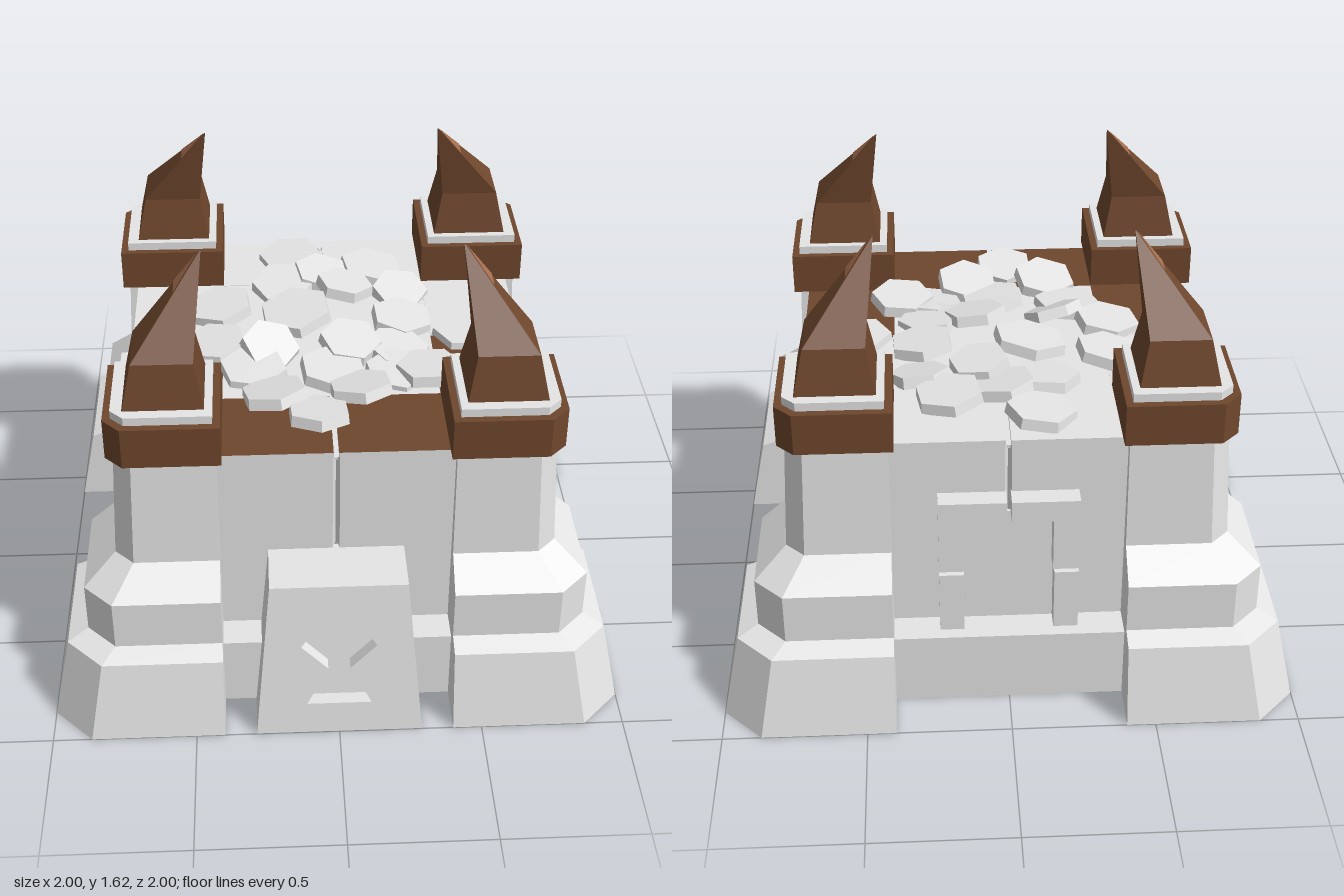
import * as THREE from 'three';

const material = (name, color, side = THREE.FrontSide) => {
  const m = new THREE.MeshStandardMaterial({ color, side });
  m.name = name;
  return m;
};
// The stone shell is hollow and open below, so it shows from both sides
const stone = material('pale stone', 0xe6e6e6, THREE.DoubleSide);
const wood = material('brown wood', 0x6f472d);
const lightWood = material('light brown wood', 0xa87050, THREE.DoubleSide);

function add(parent, name, geometry, mat) {
  const mesh = new THREE.Mesh(geometry, mat);
  mesh.name = name;
  parent.add(mesh);
  return mesh;
}

// Box given by its minimum and maximum corners
function box(parent, name, x0, x1, y0, y1, z0, z1, mat = stone) {
  const m = add(parent, name, new THREE.BoxGeometry(x1 - x0, y1 - y0, z1 - z0), mat);
  m.position.set((x0 + x1) / 2, (y0 + y1) / 2, (z0 + z1) / 2);
  return m;
}

function triangles(pos) {
  const g = new THREE.BufferGeometry();
  g.setAttribute('position', new THREE.Float32BufferAttribute(pos, 3));
  g.computeVertexNormals();
  return g;
}

// Flat-shaded loft through rings of [x, y, z] points; floor and last side are optional
function loft(rings, floor = true, closed = true) {
  const pos = [];
  const tri = (a, b, c) => pos.push(...a, ...b, ...c);
  const n = rings[0].length;
  for (let r = 0; r < rings.length - 1; r++) {
    const lo = rings[r], hi = rings[r + 1];
    for (let i = 0; i < (closed ? n : n - 1); i++) {
      const j = (i + 1) % n;
      tri(lo[i], lo[j], hi[j]);
      tri(lo[i], hi[j], hi[i]);
    }
  }
  const bottom = rings[0], top = rings[rings.length - 1];
  for (let i = 1; i < n - 1; i++) {
    if (floor) tri(bottom[0], bottom[i + 1], bottom[i]);
    tri(top[0], top[i], top[i + 1]);
  }
  return triangles(pos);
}

// Corner plan: square from a to r with the outer corner cut by c, mirrored by sx, sz
function cornerLoft(profile, sx, sz, floor) {
  return loft(profile.map(([y, a, r, c]) => {
    const plan = [[a, a], [a, r], [r - c, r], [r, r - c], [r, a]];
    const ring = plan.map(([x, z]) => [x * sx, y, z * sz]);
    return sx * sz < 0 ? ring.reverse() : ring;
  }), floor);
}

function buildTower(sx, sz) {
  const tower = new THREE.Group();
  tower.name = 'cornerTower';
  // Rows are height, inner edge, outer edge, corner cut
  add(tower, 'towerBody', cornerLoft([
    [0, 0.4, 1, 0.135], [0.29, 0.4, 0.94, 0.125], [0.315, 0.4, 0.87, 0.1],
    [0.5, 0.4, 0.87, 0.1], [0.595, 0.4, 0.76, 0.065], [1.01, 0.4, 0.74, 0.06],
  ], sx, sz, false), stone);
  add(tower, 'towerBand', cornerLoft([
    [1.005, 0.38, 0.765, 0.06], [1.155, 0.38, 0.765, 0.06],
  ], sx, sz), wood);
  add(tower, 'towerPlinth', cornerLoft([
    [1.1, 0.405, 0.738, 0.045], [1.185, 0.405, 0.738, 0.045],
  ], sx, sz), stone);
  add(tower, 'towerHorn', cornerLoft([
    [1.18, 0.43, 0.7, 0.002], [1.34, 0.46, 0.665, 0.002], [1.625, 0.428, 0.432, 0.001],
  ], sx, sz), wood);
  // Pale outer face near the point of the horn
  const tip = [[0.521, 1.52, 0.44], [0.521, 1.52, 0.518], [0.435, 1.625, 0.43]];
  add(tower, 'hornTip', triangles(tip.flatMap(([x, y, z]) => [x * sx, y, z * sz])), lightWood);
  return tower;
}

// One hollow wall, facing +z before it is turned into place
function buildWall(index) {
  const wall = new THREE.Group();
  wall.name = ['frontWall', 'leftWall', 'backWall', 'rightWall'][index];
  const front = index === 0;
  for (const s of [-1, 1]) {
    const half = (name, x0, x1, ...rest) =>
      box(wall, name, Math.min(s * x0, s * x1), Math.max(s * x0, s * x1), ...rest);
    // The front half of the roof edge is boarded
    const boarded = front || (index === 1 && s < 0) || (index === 3 && s > 0);
    const mats = [stone, stone, boarded ? wood : stone, stone, stone, stone];
    half('roofEdge', 0.009, 0.41, 0.985, 1.003, 0.38, 0.71, mats);
    half('upperWall', 0.012, 0.41, 0.59, 0.99, 0.695, 0.71);
    // The front wall is open behind the gate
    half('lowerWall', front ? 0.235 : 0, 0.41, 0.26, 0.59, 0.695, 0.71);
    half('footing', front ? 0.26 : 0, 0.41, 0, 0.27, 0.81, 0.825);
    half('footingLedge', front ? 0.26 : 0, 0.41, 0.255, 0.27, 0.695, 0.82);
    if (!front) {
      // Door frame with a joint in each post
      half('lowerPost', 0.155, 0.24, 0.265, 0.505, 0.7, 0.78);
      half('upperPost', 0.15, 0.24, 0.52, 0.8, 0.7, 0.78);
      half('lintel', 0.008, 0.15, 0.72, 0.8, 0.7, 0.78);
    }
  }
  if (!front) box(wall, 'doorPanel', -0.15, 0.15, 0.27, 0.72, 0.7, 0.712);
  // Groove down the middle of the wall and across its top
  const groove = (y) => [[-0.012, y, 0.71], [0, y, 0.665], [0.012, y, 0.71]];
  add(wall, 'wallGroove', loft([groove(0.59), groove(0.985)], false, false), stone);
  box(wall, 'roofGroove', -0.015, 0.015, 0.96, 0.975, 0.38, 0.69);
  wall.rotation.y = index * Math.PI / 2;
  return wall;
}

// Sloping hollow gate block with a sunken keyhole
function buildGate() {
  const gate = new THREE.Group();
  gate.name = 'gate';
  const ring = (y, w, front) =>
    [[-w, y, 0.69], [-w, y, front], [w, y, front], [w, y, 0.69]];
  add(gate, 'gateBody', loft([ring(0, 0.29, 0.95), ring(0.595, 0.235, 0.865)], false, false), stone);

  const points = (list) => list.map(([x, y]) => new THREE.Vector2(x, y));
  const face = new THREE.Shape(points([[-0.29, 0], [0.29, 0], [0.235, 0.595], [-0.235, 0.595]]));
  face.holes.push(new THREE.Path(points([
    [-0.07, 0.45], [0.07, 0.45], [0.13, 0.355], [0.038, 0.265],
    [0.112, 0.12], [-0.112, 0.12], [-0.038, 0.265], [-0.13, 0.355],
  ])));
  const g = new THREE.ExtrudeGeometry(face, { depth: 0.05, bevelEnabled: false });
  const p = g.attributes.position;
  for (let i = 0; i < p.count; i++) p.setZ(i, p.getZ(i) + 0.948 - p.getY(i) * 0.143);
  g.computeVertexNormals();
  add(gate, 'keyholeFace', g, stone);
  return gate;
}

// Loose six-sided slabs heaped on the roof: x, z, height, size, spin, tilt to front, tilt to left
const slabs = [
  [-0.12, -0.56, 1.02, 0.125, 0.4, 0.05, -0.1], [0.19, -0.45, 1.03, 0.125, 0.15, 0, 0.1],
  [-0.15, -0.34, 1.025, 0.125, 0.5, 0.15, -0.05], [0, -0.4, 1.035, 0.115, 0.2, 0.1, 0.15],
  [0.29, -0.29, 1.015, 0.11, 0.5, 0.25, 0.1], [-0.39, -0.18, 1.03, 0.125, 0.1, 0.05, -0.15],
  [-0.11, -0.11, 1.045, 0.14, 0.1, 0.08, -0.15], [0.08, -0.28, 1.055, 0.11, 0.3, -0.05, 0.15],
  [0.28, -0.08, 1.025, 0.12, 0.05, 0.05, 0.12], [0.51, 0, 1.01, 0.125, 0.5, 0, 0],
  [-0.41, 0.06, 1.02, 0.125, 0.2, 0, -0.12], [-0.21, 0.11, 1.04, 0.11, 0.45, 0.4, 0.25],
  [0.08, 0.1, 1.045, 0.115, 0.4, 0.2, 0.12], [-0.27, 0.22, 1.015, 0.125, 0.3, 0.08, 0],
  [0.01, 0.25, 1.025, 0.125, 0.1, 0.05, 0.1], [0.25, 0.11, 1.015, 0.12, 0.6, 0.05, 0.12],
  [0.35, 0.26, 1.03, 0.12, 0.45, -0.08, -0.05], [0.24, 0.25, 1.01, 0.12, 0.2, 0.1, 0],
  [-0.2, 0.39, 1.03, 0.12, 0.2, -0.2, -0.12], [0.1, 0.37, 1.035, 0.12, 0.1, -0.2, -0.08],
  [-0.05, 0.51, 1.025, 0.115, 0.05, -0.18, 0],
];

function buildRubble() {
  const rubble = new THREE.Group();
  rubble.name = 'roofRubble';
  for (const [x, z, y, r, spin, tiltX, tiltZ] of slabs) {
    const g = new THREE.CylinderGeometry(r * 0.96, r, 0.04, 6).toNonIndexed();
    g.computeVertexNormals();
    const slab = add(rubble, 'roofSlab', g, stone);
    slab.position.set(x, y, z);
    slab.rotation.set(tiltX, spin, -tiltZ, 'XZY');
  }
  return rubble;
}

export function createModel() {
  const model = new THREE.Group();
  model.name = 'fortress';
  box(model, 'roofFloor', -0.39, 0.39, 0.985, 1.001, -0.39, 0.39);
  for (let i = 0; i < 4; i++) model.add(buildWall(i));
  for (const sx of [-1, 1]) for (const sz of [-1, 1]) model.add(buildTower(sx, sz));
  model.add(buildGate(), buildRubble());
  return model;
}
